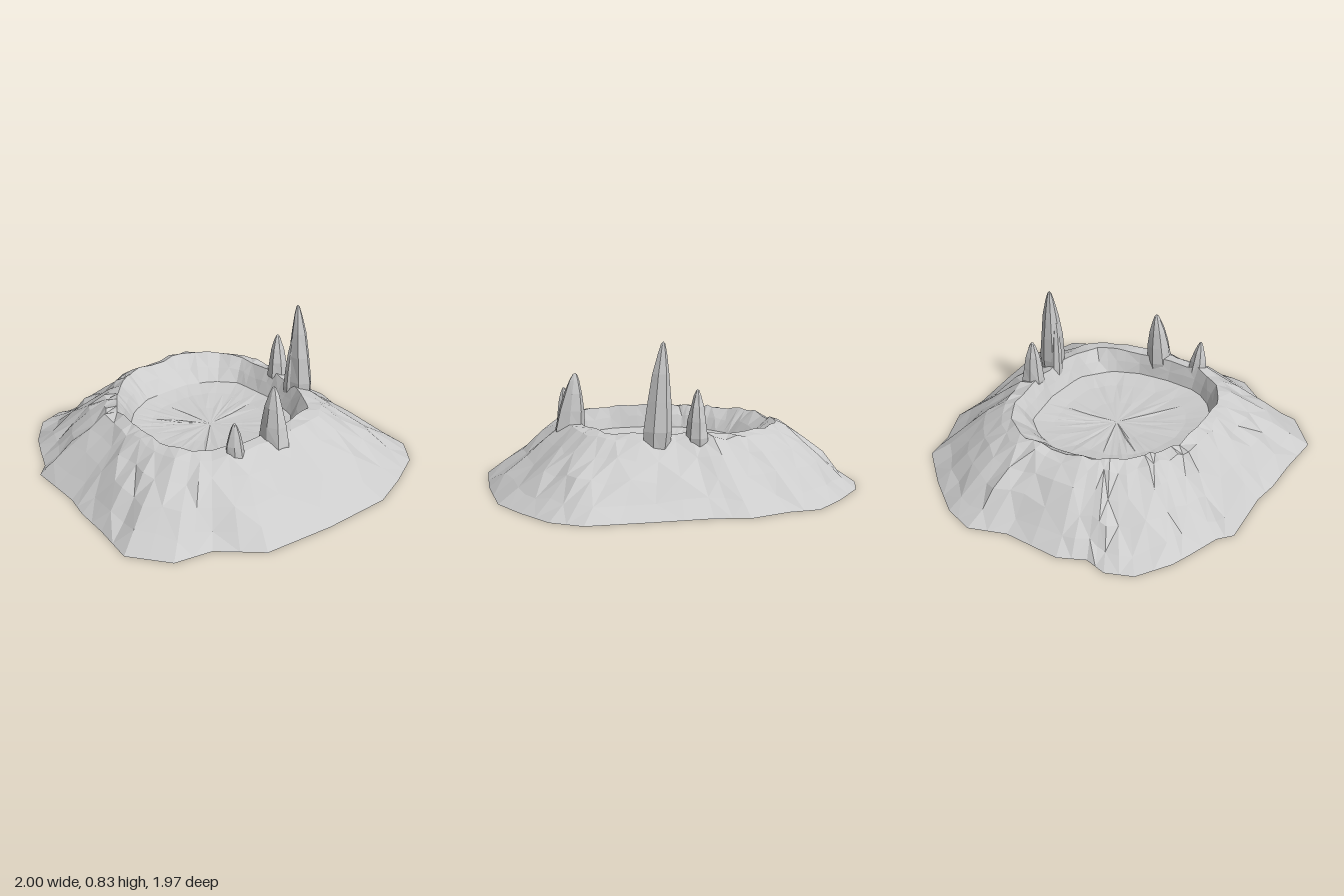
import * as THREE from 'three';

const material = () => new THREE.MeshStandardMaterial({
  color: 0xcccccc, flatShading: true, roughness: 0.9, side: THREE.DoubleSide,
});

// Outlines as [x, z], running clockwise seen from above
const FOOT = [
  [-0.18, -0.99], [0, -0.95], [0.3, -0.95], [0.64, -0.94], [0.79, -0.83], [0.9, -0.62], [0.99, -0.4],
  [1, 0], [0.97, 0.4], [0.79, 0.61], [0.75, 0.82], [0.55, 0.98], [0.3, 0.95], [0.1, 0.94],
  [-0.05, 0.91], [-0.38, 0.91], [-0.45, 0.84], [-0.62, 0.77], [-0.73, 0.72], [-0.9, 0.59],
  [-0.95, 0.44], [-0.91, 0.32], [-0.97, 0.17], [-0.94, -0.15], [-1, -0.36], [-0.93, -0.53],
  [-0.76, -0.73], [-0.57, -0.91], [-0.4, -0.92],
];
const RIM = [
  [-0.57, 0], [-0.56, -0.27], [-0.45, -0.42], [-0.3, -0.49], [-0.05, -0.5], [0.2, -0.47],
  [0.42, -0.37], [0.48, -0.15], [0.5, 0.1], [0.49, 0.3], [0.4, 0.44], [0.25, 0.52], [0, 0.52],
  [-0.2, 0.5], [-0.35, 0.4], [-0.47, 0.29], [-0.55, 0.15],
];
const FLOOR = [
  [-0.42, 0], [-0.42, -0.15], [-0.36, -0.3], [-0.25, -0.41], [0, -0.43], [0.25, -0.39],
  [0.4, -0.25], [0.46, -0.08], [0.47, 0.1], [0.45, 0.3], [0.35, 0.42], [0.2, 0.49], [0, 0.49],
  [-0.2, 0.42], [-0.33, 0.3], [-0.41, 0.15],
];

function seeded(seed) {
  return () => {
    seed = (seed * 16807) % 2147483647;
    return seed / 2147483647;
  };
}

// Point where a ray from the centre at angle t crosses an outline
function cross(outline, t) {
  const dx = Math.cos(t), dz = Math.sin(t);
  for (let i = 0; i < outline.length; i++) {
    const [ax, az] = outline[i], [bx, bz] = outline[(i + 1) % outline.length];
    const sa = dx * az - dz * ax, sb = dx * bz - dz * bx;
    if (sa <= 0 && sb > 0) {
      const k = sa / (sa - sb);
      return [ax + (bx - ax) * k, az + (bz - az) * k];
    }
  }
  return outline[0];
}

const mix = (a, b, k) => [a[0] + (b[0] - a[0]) * k, a[1] + (b[1] - a[1]) * k];

// Joins closed rings of points into a faceted skin
function skin(rings) {
  const pos = [], n = rings[0].length;
  for (let r = 0; r + 1 < rings.length; r++) {
    for (let i = 0; i < n; i++) {
      const j = (i + 1) % n;
      const a = rings[r][i], b = rings[r][j], c = rings[r + 1][i], d = rings[r + 1][j];
      const tris = (r + i) % 2 ? [a, c, b, c, d, b] : [a, c, d, a, d, b];
      tris.forEach((p) => pos.push(...p));
    }
  }
  const g = new THREE.BufferGeometry();
  g.setAttribute('position', new THREE.Float32BufferAttribute(pos, 3));
  g.computeVertexNormals();
  return g;
}

function craterGeometry() {
  const rand = seeded(41);
  const foot = FOOT.flatMap((p, i) => [p, mix(p, FOOT[(i + 1) % FOOT.length], 0.5)]);
  const cols = foot.map((p) => {
    const t = Math.atan2(p[1], p[0]);
    return { t, foot: p, rim: cross(RIM, t), floor: cross(FLOOR, t) };
  });
  const ring = (f) => cols.map(f);
  const rings = [ring(() => [0, 0, 0]), ring((c) => [c.foot[0], 0, c.foot[1]])];

  // Outer slope, with a gully at the front left
  for (const [k, y] of [[0.2, 0.07], [0.42, 0.16], [0.65, 0.25], [0.86, 0.325]]) {
    rings.push(ring((c) => {
      const p = mix(c.foot, c.rim, k + (rand() - 0.5) * 0.06);
      const gully = 0.05 * Math.exp(-(((c.t - 2.62) / 0.13) ** 2)) * Math.sin(Math.PI * k);
      return [p[0], y - gully + (rand() - 0.5) * 0.03, p[1]];
    }));
  }
  // Rim, inner wall and shallow floor
  rings.push(ring((c) => [c.rim[0], 0.345 + (rand() - 0.5) * 0.025, c.rim[1]]));
  rings.push(ring((c) => {
    const p = mix(c.rim, c.floor, 0.55);
    return [p[0], 0.28 + (rand() - 0.5) * 0.02, p[1]];
  }));
  rings.push(ring((c) => [c.floor[0], 0.215, c.floor[1]]));
  for (const [k, y] of [[0.25, 0.195], [0.6, 0.185]]) {
    rings.push(ring((c) => {
      const p = mix(c.floor, [0, 0], k);
      return [p[0], y + (rand() - 0.5) * 0.008, p[1]];
    }));
  }
  rings.push(ring(() => [0, 0.18, 0]));
  return skin(rings);
}

// Rock spike: a leaning, tapering stack of uneven rings
function spikeGeometry({ base, tip, rx, rz, bottom, top, seed }) {
  const rand = seeded(seed), sides = 7;
  const wobble = Array.from({ length: sides }, () => 0.88 + rand() * 0.2);
  const profile = [[0, 0], [0, 0.9], [0.22, 1], [0.48, 0.86], [0.72, 0.6], [0.9, 0.33], [0.98, 0.14], [1, 0]];
  return skin(profile.map(([h, r]) => wobble.map((w, i) => {
    const a = (i / sides) * Math.PI * 2 + seed;
    const s = r * w * (0.94 + rand() * 0.12);
    const c = mix(base, tip, h);
    return [c[0] + Math.cos(a) * rx * s, bottom + (top - bottom) * h, c[1] + Math.sin(a) * rz * s];
  })));
}

export function createModel() {
  const group = new THREE.Group();
  const add = (name, geometry) => {
    const mesh = new THREE.Mesh(geometry, material());
    mesh.name = name;
    group.add(mesh);
  };

  add('crater', craterGeometry());

  const spikes = {
    backSmallSpike: { base: [-0.03, -0.54], tip: [-0.035, -0.53], rx: 0.06, rz: 0.07, bottom: 0.26, top: 0.58, seed: 3 },
    backTallSpike: { base: [0.18, -0.525], tip: [0.145, -0.515], rx: 0.078, rz: 0.075, bottom: 0.24, top: 0.83, seed: 8 },
    backTallSpikeShard: { base: [0.135, -0.48], tip: [0.15, -0.485], rx: 0.04, rz: 0.042, bottom: 0.24, top: 0.65, seed: 12 },
    leftLargeSpike: { base: [0.55, 0], tip: [0.52, -0.015], rx: 0.088, rz: 0.075, bottom: 0.22, top: 0.62, seed: 5 },
    leftSmallSpike: { base: [0.53, 0.255], tip: [0.54, 0.27], rx: 0.055, rz: 0.052, bottom: 0.26, top: 0.505, seed: 7 },
  };
  for (const [name, spec] of Object.entries(spikes)) add(name, spikeGeometry(spec));
  return group;
}
